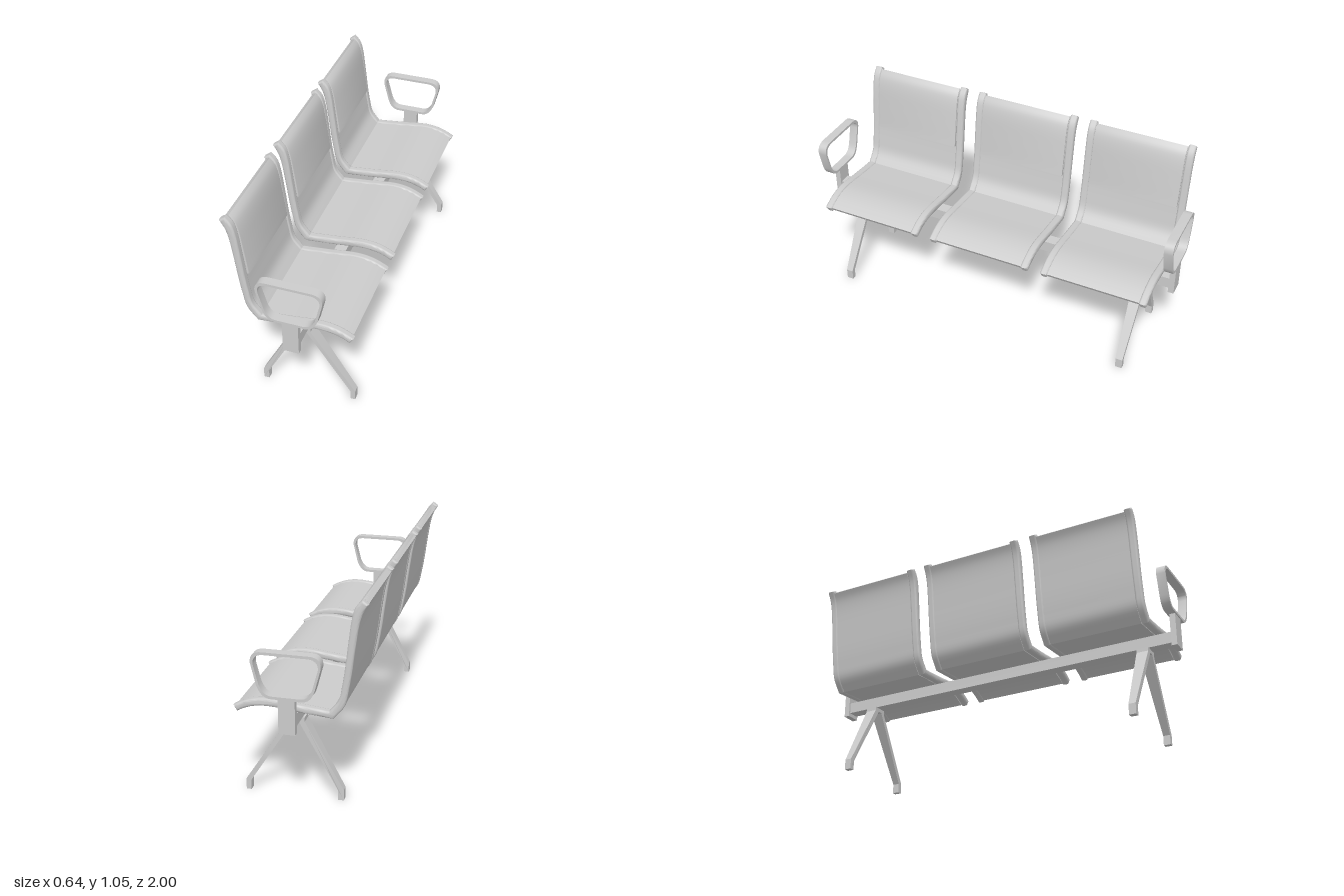
import * as THREE from 'three';
import { toCreasedNormals } from 'three/addons/utils/BufferGeometryUtils.js';

const material = new THREE.MeshStandardMaterial({ color: 0xcccccc, roughness: 0.6 });

// Seat section as [upper x, upper y, lower x, lower y], from the top of the back to the front lip
const BACK = [
  [-0.292, 1.05, -0.32, 1.03], [-0.262, 1.015, -0.295, 0.985], [-0.246, 0.965, -0.28, 0.935],
  [-0.228, 0.84, -0.262, 0.82], [-0.212, 0.71, -0.246, 0.70], [-0.2, 0.635, -0.231, 0.612],
  [-0.183, 0.56, -0.212, 0.535], [-0.14, 0.504, -0.16, 0.468],
];
const SEAT = [
  [-0.14, 0.504, -0.16, 0.468], [0, 0.518, 0, 0.482], [0.155, 0.535, 0.15, 0.497],
  [0.235, 0.525, 0.225, 0.49], [0.297, 0.5, 0.275, 0.472], [0.32, 0.487, 0.303, 0.457],
];
const STEPS = 4;

function sample(rows, offset) {
  const curve = new THREE.CatmullRomCurve3(rows.map((r) => new THREE.Vector3(r[offset], r[offset + 1], 0)));
  return curve.getPoints((rows.length - 1) * STEPS).map((p) => new THREE.Vector2(p.x, p.y));
}
const sampleSide = (offset) => [...sample(BACK, offset), ...sample(SEAT, offset).slice(1)];
const UPPER = sampleSide(0);
const LOWER = sampleSide(2);

// Closed outline between two depths (0 = upper face, 1 = lower face) of the seat section
function band(upperDepth, lowerDepth, from, to) {
  const top = [], bottom = [];
  for (let i = from; i <= to; i++) {
    top.push(UPPER[i].clone().lerp(LOWER[i], upperDepth(i)));
    bottom.push(UPPER[i].clone().lerp(LOWER[i], lowerDepth));
  }
  return new THREE.Shape([...top, ...bottom.reverse()]);
}

// Extrusion of the given total width, centred on z = 0, with rounded edges
function slab(shape, width, bevel = 0, segments = 3) {
  const geometry = new THREE.ExtrudeGeometry(shape, {
    depth: width - 2 * bevel, steps: 1, curveSegments: 8,
    bevelEnabled: bevel > 0, bevelSize: bevel, bevelThickness: bevel,
    bevelOffset: -bevel, bevelSegments: segments,
  });
  geometry.translate(0, 0, bevel - width / 2);
  return toCreasedNormals(geometry, 0.6);
}

function add(parent, name, geometry, x = 0, y = 0, z = 0) {
  const mesh = new THREE.Mesh(geometry, material);
  mesh.name = name;
  mesh.position.set(x, y, z);
  parent.add(mesh);
  return mesh;
}

// Armrest outline; the scale about its middle gives the inner edge
function armOutline(target, sx = 1, sy = 1) {
  const P = (x, y) => [0.04 + (x - 0.04) * sx, 0.684 + (y - 0.684) * sy];
  target.moveTo(...P(-0.07, 0.796));
  target.bezierCurveTo(...P(-0.11, 0.796), ...P(-0.127, 0.775), ...P(-0.124, 0.74));
  target.lineTo(...P(-0.095, 0.632));
  target.bezierCurveTo(...P(-0.083, 0.595), ...P(-0.065, 0.572), ...P(-0.03, 0.572));
  target.lineTo(...P(0.11, 0.572));
  target.bezierCurveTo(...P(0.145, 0.572), ...P(0.163, 0.595), ...P(0.178, 0.632));
  target.lineTo(...P(0.204, 0.74));
  target.bezierCurveTo(...P(0.207, 0.775), ...P(0.19, 0.796), ...P(0.15, 0.796));
  target.closePath();
  return target;
}

// Splayed leg pair, narrowing in z towards the feet
function legGeometry() {
  const outline = [
    [-0.185, 0], [-0.157, 0], [-0.157, 0.05], [0.03, 0.4], [0.055, 0.4], [0.278, 0.05], [0.278, 0],
    [0.303, 0], [0.303, 0.055], [0.08, 0.4], [0.08, 0.421], [0, 0.421], [0, 0.4], [-0.185, 0.055],
  ].map(([x, y]) => new THREE.Vector2(x, y));
  const geometry = new THREE.ExtrudeGeometry(new THREE.Shape(outline), { depth: 2, bevelEnabled: false });
  geometry.translate(0, 0, -1);
  const pos = geometry.attributes.position;
  for (let i = 0; i < pos.count; i++) {
    const t = THREE.MathUtils.clamp((pos.getY(i) - 0.05) / 0.35, 0, 1);
    pos.setZ(i, pos.getZ(i) * (0.018 + 0.013 * t));
  }
  return toCreasedNormals(geometry, 0.3);
}

export function createModel() {
  const model = new THREE.Group();
  model.name = 'beamSeating';

  // Seats: two rounded side rails, a recessed pad and a raised back cushion
  const last = UPPER.length - 1;
  const seam = 4 * STEPS;
  const railGeometry = slab(band(() => 0, 1, 0, last), 0.04, 0.011);
  const padGeometry = slab(band(() => 0.2, 0.93, 1, last - 1), 0.488);
  const cushionGeometry = slab(band((i) => 0.1 - 0.26 * (i / seam), 0.6, 1, seam), 0.484, 0.004, 2);
  [0.63, -0.009, -0.644].forEach((z) => {
    const seat = new THREE.Group();
    seat.name = 'seat';
    seat.position.z = z;
    add(seat, 'seatPad', padGeometry);
    add(seat, 'backCushion', cushionGeometry);
    for (const side of [1, -1]) add(seat, 'sideRail', railGeometry, 0, 0, side * 0.263);
    model.add(seat);
  });

  // Beam under the seats
  add(model, 'beam', new THREE.BoxGeometry(0.06, 0.06, 1.95), 0.04, 0.45, 0);

  // Legs, end posts and armrests at both ends
  const legs = legGeometry();
  const arm = armOutline(new THREE.Shape());
  arm.holes.push(armOutline(new THREE.Path(), 0.921, 0.884));
  const armGeometry = slab(arm, 0.046);
  const postGeometry = new THREE.BoxGeometry(0.08, 0.175, 0.03);
  for (const side of [1, -1]) {
    add(model, 'legPair', legs, 0, 0, side * 0.812);
    add(model, 'endPost', postGeometry, 0.04, 0.4875, side * 0.98);
    add(model, 'armrest', armGeometry, 0, 0, side * 0.977);
  }
  return model;
}
